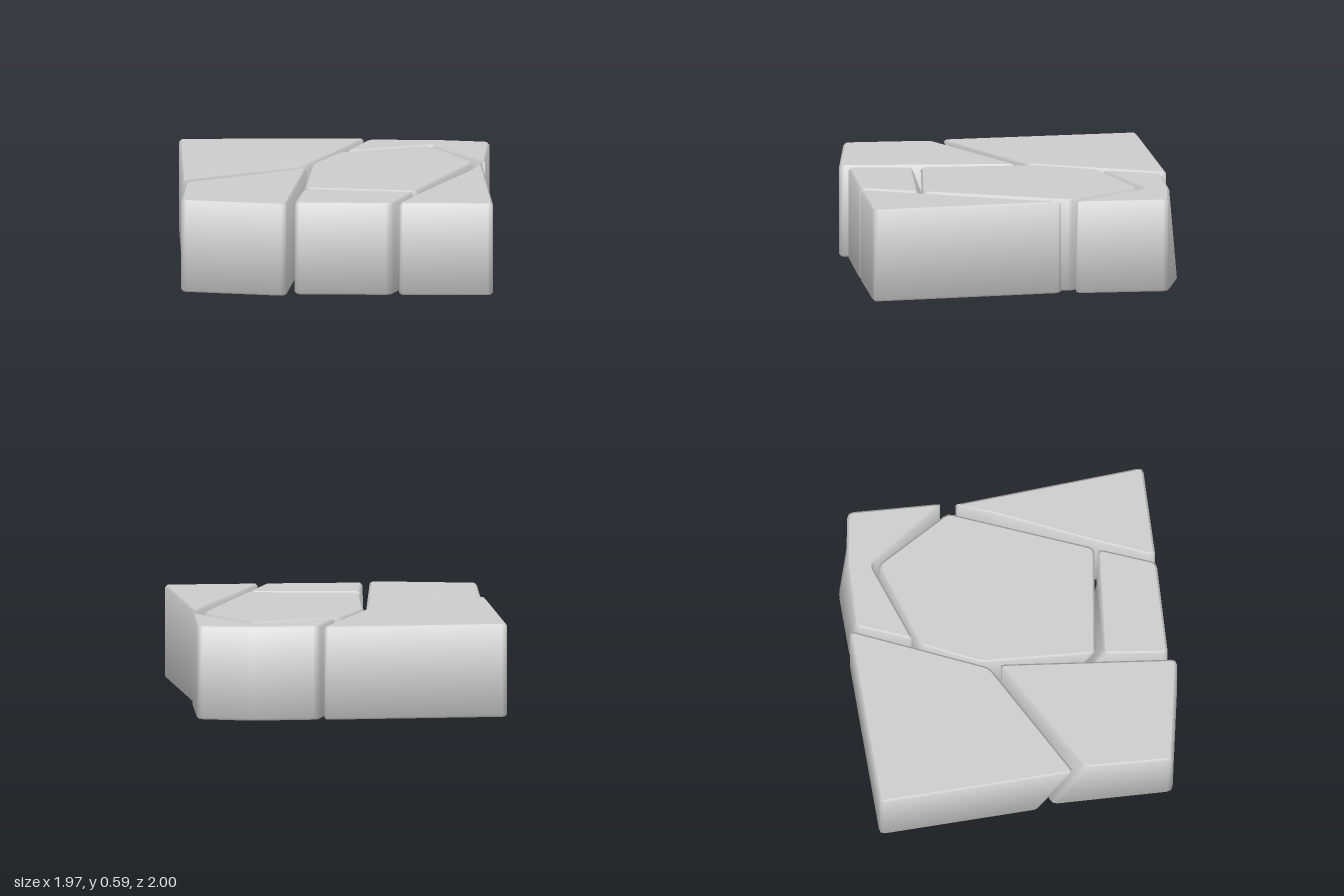
import * as THREE from 'three';

const HEIGHT = 0.59, BEVEL = 0.013, CORNER = 0.035;

// Cut each corner of an outline into a short rounding of three points
function roundCorners(outline) {
  const n = outline.length, out = [];
  outline.forEach((p, i) => {
    const [a, b] = [outline[(i + n - 1) % n], outline[(i + 1) % n]].map((q) =>
      p.clone().add(q.clone().sub(p).setLength(CORNER)));
    const mid = a.clone().add(b).multiplyScalar(0.25).addScaledVector(p, 0.5);
    out.push(a, mid, b);
  });
  return out;
}

// Move every edge of an outline inward by d
function inset(pts, d) {
  const n = pts.length;
  const inward = (a, b) => new THREE.Vector2(a.y - b.y, b.x - a.x).normalize();
  return pts.map((p, i) => {
    const n1 = inward(pts[(i + n - 1) % n], p), n2 = inward(p, pts[(i + 1) % n]);
    const m = n1.clone().add(n2).normalize();
    return p.clone().addScaledVector(m, d / Math.max(0.5, m.dot(n1)));
  });
}

// Stone lofted from a bottom to a top outline, given as [x, z] corners
function stone(name, top, bottomChanges = {}) {
  const toVec = ([x, z]) => new THREE.Vector2(x, z);
  const upper = roundCorners(top.map(toVec));
  const lower = roundCorners(top.map((p, i) => toVec(bottomChanges[i] ?? p)));
  const rings = [
    [inset(lower, BEVEL), 0], [lower, BEVEL],
    [upper, HEIGHT - BEVEL], [inset(upper, BEVEL), HEIGHT],
  ];
  const n = upper.length, pos = [], index = [];
  for (const [pts, y] of rings) for (const p of pts) pos.push(p.x, y, p.y);

  // Bevels and side walls
  for (let r = 0; r < 3; r++) {
    for (let i = 0; i < n; i++) {
      const j = (i + 1) % n;
      const a = r * n + i, b = r * n + j, c = a + n, d = b + n;
      index.push(a, c, b, b, c, d);
    }
  }
  // Flat caps with their own vertices
  for (const [r, flip] of [[0, false], [3, true]]) {
    const base = pos.length / 3, [pts, y] = rings[r];
    for (const p of pts) pos.push(p.x, y, p.y);
    for (const [a, b, c] of THREE.ShapeUtils.triangulateShape(pts, [])) {
      index.push(base + a, base + (flip ? c : b), base + (flip ? b : c));
    }
  }
  const geometry = new THREE.BufferGeometry();
  geometry.setAttribute('position', new THREE.Float32BufferAttribute(pos, 3));
  geometry.setIndex(index);
  geometry.computeVertexNormals();

  // Soften the wall edges so the shading rolls into the bevels
  const normal = geometry.attributes.normal, v = new THREE.Vector3();
  for (let i = n; i < 3 * n; i++) {
    v.fromBufferAttribute(normal, i);
    v.y += i < 2 * n ? -0.4 : 0.4;
    v.normalize();
    normal.setXYZ(i, v.x, v.y, v.z);
  }
  const mesh = new THREE.Mesh(geometry, new THREE.MeshStandardMaterial({ color: 0xcccccc }));
  mesh.name = name;
  return mesh;
}

export function createModel() {
  const group = new THREE.Group();
  group.name = 'pavingStones';
  // Top outlines run clockwise from above; changed bottom corners slant the walls
  group.add(
    stone('backLeftStone',
      [[-0.97, -1], [0.2, -1], [-0.19, -0.17], [-0.97, 0.24]],
      { 3: [-0.97, 0.02] }),
    stone('frontLeftStone',
      [[-0.95, 0.31], [-0.18, -0.11], [-0.33, 1], [-0.99, 0.86]],
      { 0: [-0.95, 0.1] }),
    stone('centreStone',
      [[0.03, -0.58], [0.6, -0.75], [0.87, -0.26], [0.49, 0.61], [-0.21, 0.5], [-0.15, -0.22]],
      { 1: [0.61, -0.77], 4: [-0.19, 0.31] }),
    stone('frontMiddleStone',
      [[-0.22, 0.55], [0.48, 0.63], [0.33, 0.98], [-0.28, 0.95]],
      { 0: [-0.22, 0.33] }),
    stone('frontRightStone',
      [[0.92, -0.22], [0.97, 1], [0.37, 0.98], [0.54, 0.6], [0.81, 0.04]],
      { 3: [0.49, 0.6], 4: [0.75, 0.04] }),
    stone('backRightStone',
      [[0.22, -0.96], [0.65, -0.94], [0.98, -0.88], [0.94, -0.28], [0.61, -0.79], [0.07, -0.61]],
      { 0: [0.22, -0.99], 1: [0.65, -0.99] }),
  );
  return group;
}
